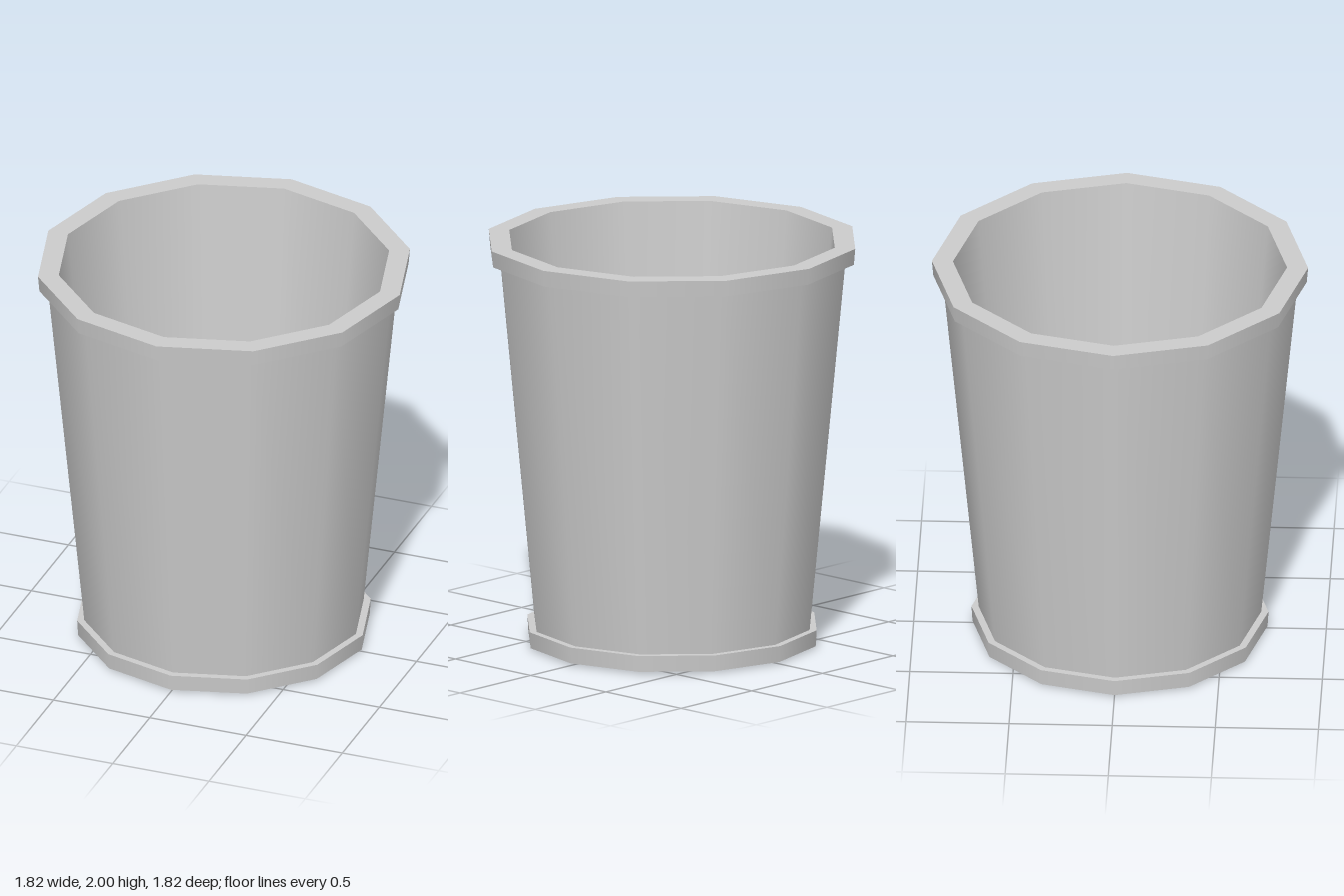
import * as THREE from 'three';

const SIDES = 12;
const material = new THREE.MeshStandardMaterial({ color: 0xcccccc });

// One lathe per profile run: smooth around the bin, sharp between runs.
// Each run goes up on outside faces and down on inside faces.
function addPart(parent, name, points) {
  const part = new THREE.Group();
  part.name = name;
  for (let i = 0; i < points.length - 1; i++) {
    const run = [points[i], points[i + 1]].map(([r, y]) => new THREE.Vector2(r, y));
    const mesh = new THREE.Mesh(new THREE.LatheGeometry(run, SIDES), material);
    mesh.name = name + 'Face' + (i + 1);
    part.add(mesh);
  }
  parent.add(part);
}

export function createModel() {
  const bin = new THREE.Group();
  bin.name = 'bin';

  // Base with its slightly bowed underside and foot band
  addPart(bin, 'base', [[0, 0], [0.715, 0.01], [0.72, 0.09], [0.685, 0.09]]);

  // Tapered outer wall
  addPart(bin, 'outerWall', [[0.685, 0.09], [0.862, 1.92]]);

  // Overhanging top rim
  addPart(bin, 'rim', [[0.862, 1.92], [0.905, 1.92], [0.912, 2], [0.81, 2]]);

  // Tapered inner wall
  addPart(bin, 'innerWall', [[0.81, 2], [0.63, 0.1]]);

  // Inside floor
  addPart(bin, 'floor', [[0.63, 0.1], [0, 0.1]]);

  return bin;
}
